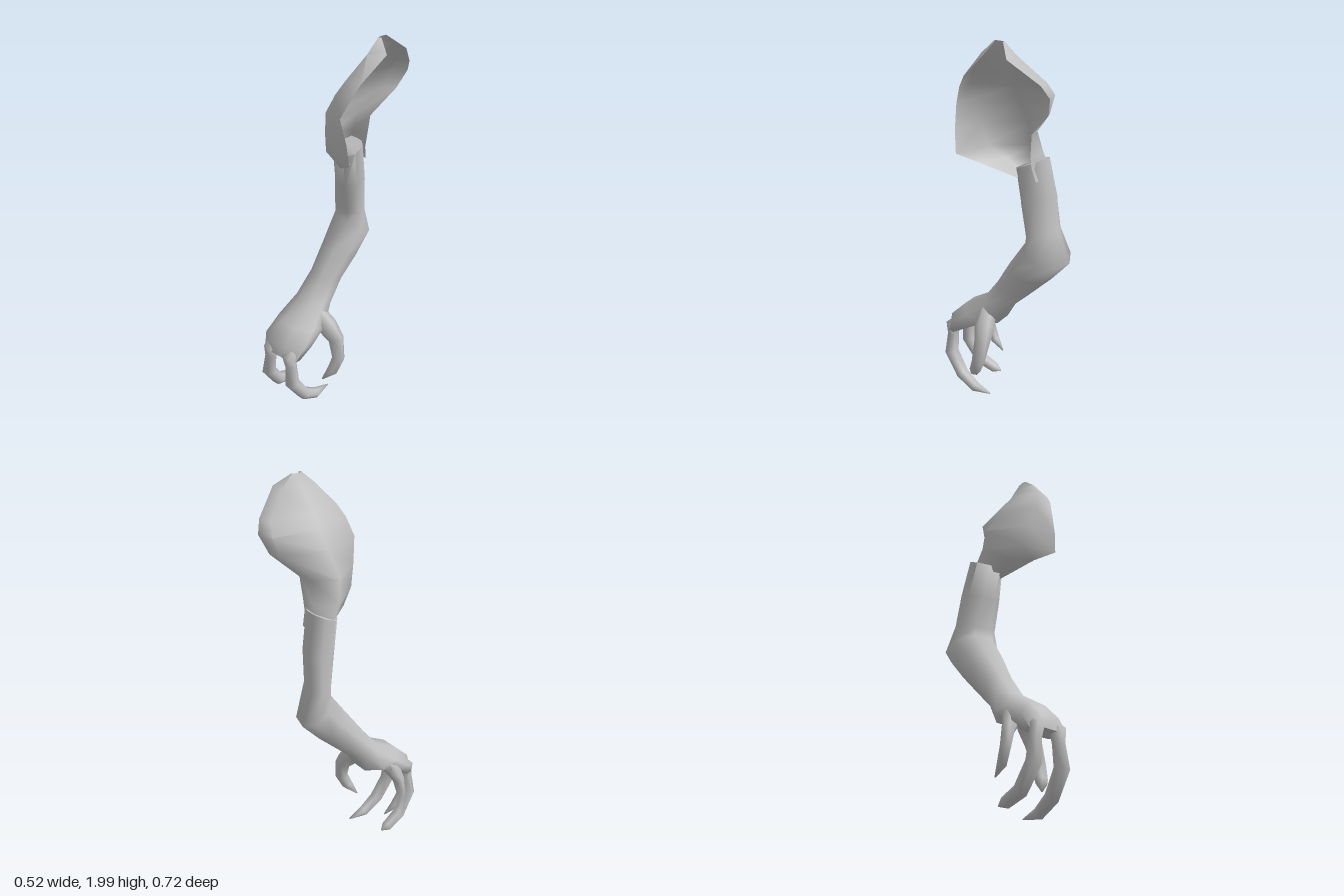
import * as THREE from 'three';
import { toCreasedNormals } from 'three/addons/utils/BufferGeometryUtils.js';

const skin = new THREE.MeshStandardMaterial({ color: 0xc0c0c0, side: THREE.DoubleSide });
skin.name = 'grey skin';

// Skin over a list of equal-sized rings; closed ones get fan caps, open ones leave a gap along the side
function loft(rings, name, closed = true) {
  const n = rings[0].length, pos = [], idx = [];
  rings.forEach(r => r.forEach(p => pos.push(p.x, p.y, p.z)));
  for (let i = 0; i < rings.length - 1; i++) {
    for (let j = 0; j < (closed ? n : n - 1); j++) {
      const a = i * n + j, b = i * n + (j + 1) % n;
      idx.push(a, a + n, b, b, a + n, b + n);
    }
  }
  (closed ? [0, rings.length - 1] : []).forEach((r, end) => {
    const c = new THREE.Vector3();
    rings[r].forEach(p => c.addScaledVector(p, 1 / n));
    const k = pos.length / 3;
    pos.push(c.x, c.y, c.z);
    for (let j = 0; j < n; j++) {
      const a = r * n + j, b = r * n + (j + 1) % n;
      end ? idx.push(b, a, k) : idx.push(a, b, k);
    }
  });
  // Signed volume decides whether the faces must be flipped
  const v = i => new THREE.Vector3().fromArray(pos, i * 3);
  let volume = 0;
  for (let i = 0; i < idx.length; i += 3) volume += v(idx[i]).dot(v(idx[i + 1]).cross(v(idx[i + 2])));
  if (closed && volume < 0) idx.reverse();
  const g = new THREE.BufferGeometry();
  g.setAttribute('position', new THREE.Float32BufferAttribute(pos, 3));
  g.setIndex(idx);
  const mesh = new THREE.Mesh(toCreasedNormals(g, 1.4), skin);
  mesh.name = name;
  return mesh;
}

// Oval ring: centre x, half width, front and back points in (z, y), skew of z along x
function oval([x, w, zf, yf, zb, yb, skew]) {
  const sides = 8, c = Math.cos(Math.PI / sides);
  return Array.from({ length: sides }, (_, j) => {
    const a = (j + 0.5) / sides * Math.PI * 2, s = (Math.cos(a) / c + 1) / 2;
    const dx = w * Math.sin(a) / c;
    return new THREE.Vector3(x + dx, yb + (yf - yb) * s, zb + (zf - zb) * s + dx * skew);
  });
}

// Tapering claw through points [x, y, z, radius]
function claw(points, name) {
  const P = points.map(p => new THREE.Vector3(p[0], p[1], p[2]));
  const rings = P.map((p, i) => {
    const t = P[Math.min(i + 1, P.length - 1)].clone().sub(P[Math.max(i - 1, 0)]).normalize();
    const u = new THREE.Vector3(1, 0, 0).addScaledVector(t, -t.x).normalize();
    const w = t.clone().cross(u), r = points[i][3];
    return Array.from({ length: 6 }, (_, j) => {
      const a = j / 6 * Math.PI * 2;
      return p.clone().addScaledVector(u, r * Math.cos(a)).addScaledVector(w, r * 0.9 * Math.sin(a));
    });
  });
  return loft(rings, name);
}

export function createModel() {
  const group = new THREE.Group();
  group.name = 'clawedArm';

  // Hollow shoulder: height, then x, z of front rim, front, outer ridge, back, back rim
  const shoulder = [
    [2.0, 0.195, -0.1, 0.185, -0.09, 0.18, -0.11, 0.185, -0.14, 0.195, -0.14],
    [1.94, 0.25, -0.07, 0.18, -0.02, 0.15, -0.11, 0.18, -0.21, 0.26, -0.2],
    [1.83, 0.21, 0.06, 0.13, 0.07, 0.075, -0.1, 0.12, -0.32, 0.19, -0.33],
    [1.77, 0.19, 0.1, 0.1, 0.1, 0.035, -0.1, 0.08, -0.34, 0.16, -0.36],
    [1.68, 0.16, 0.14, 0.06, 0.12, -0.02, -0.1, 0.07, -0.31, 0.12, -0.33],
    [1.56, 0.19, 0.13, 0.03, 0.09, -0.1, -0.1, -0.01, -0.2, 0.06, -0.21],
    [1.45, 0.2, 0.12, 0.01, 0.06, -0.11, -0.11, -0.05, -0.21, 0.05, -0.2],
    [1.39, 0.1, 0.06, -0.03, -0.02, -0.115, -0.14, -0.07, -0.225, 0.04, -0.2],
    [1.32, 0.02, -0.11, -0.05, -0.11, -0.12, -0.17, -0.08, -0.23, 0.03, -0.22],
  ];
  group.add(loft(shoulder.map(([y, ...p]) =>
    Array.from({ length: 5 }, (_, i) => new THREE.Vector3(p[i * 2], y, p[i * 2 + 1]))), 'shoulder', false));

  // Upper arm, elbow, forearm and hand
  const arm = [
    [-0.04, 0.08, -0.09, 1.36, -0.23, 1.42, 0.1],
    [-0.05, 0.088, -0.12, 1.18, -0.265, 1.23, 0.2],
    [-0.065, 0.095, -0.155, 1.02, -0.27, 1.04, 0.2],
    [-0.065, 0.113, -0.15, 0.97, -0.325, 0.87, 0.3],
    [-0.07, 0.1, -0.05, 0.83, -0.23, 0.76, 0.25],
    [-0.08, 0.08, 0.045, 0.69, -0.125, 0.65, 0.1],
    [-0.085, 0.09, 0.13, 0.58, -0.02, 0.55, 0],
    [-0.085, 0.12, 0.26, 0.5, 0.04, 0.45, 0],
    [-0.085, 0.13, 0.34, 0.42, 0.17, 0.4, 0],
    [-0.085, 0.11, 0.345, 0.355, 0.27, 0.34, 0],
  ];
  group.add(loft(arm.map(oval), 'armAndHand'));

  // Two long front claws with knuckles
  [[-0.15, -0.19, 0.12, 0.03], [-0.02, 0.012, 0.06, 0.012]].forEach(([x0, x1, tip, low], i) => {
    const x = t => x0 + (x1 - x0) * t;
    group.add(claw([
      [x(0), 0.41, 0.28, 0.03], [x(0), 0.365, 0.325, 0.042], [x(0.2), 0.31, 0.32, 0.033],
      [x(0.55), 0.2, 0.325, 0.041], [x(0.8), 0.085, 0.25, 0.038], [x(0.95), low + 0.018, 0.16, 0.031],
      [x(1), low + 0.01, tip, 0.004],
    ], i ? 'leftFrontClaw' : 'rightFrontClaw'));
  });

  // Thumb and outer claw at the sides of the hand
  group.add(claw([
    [-0.04, 0.54, 0.1, 0.045], [0.03, 0.45, 0.08, 0.058], [0.078, 0.38, 0.065, 0.045],
    [0.103, 0.27, 0.075, 0.037], [0.088, 0.2, 0.105, 0.033], [0.05, 0.14, 0.145, 0.004],
  ], 'thumb'));
  group.add(claw([
    [-0.12, 0.54, 0.1, 0.045], [-0.175, 0.43, 0.19, 0.05], [-0.215, 0.36, 0.21, 0.034],
    [-0.235, 0.28, 0.215, 0.028], [-0.225, 0.21, 0.18, 0.026], [-0.21, 0.165, 0.12, 0.004],
  ], 'outerClaw'));
  return group;
}
